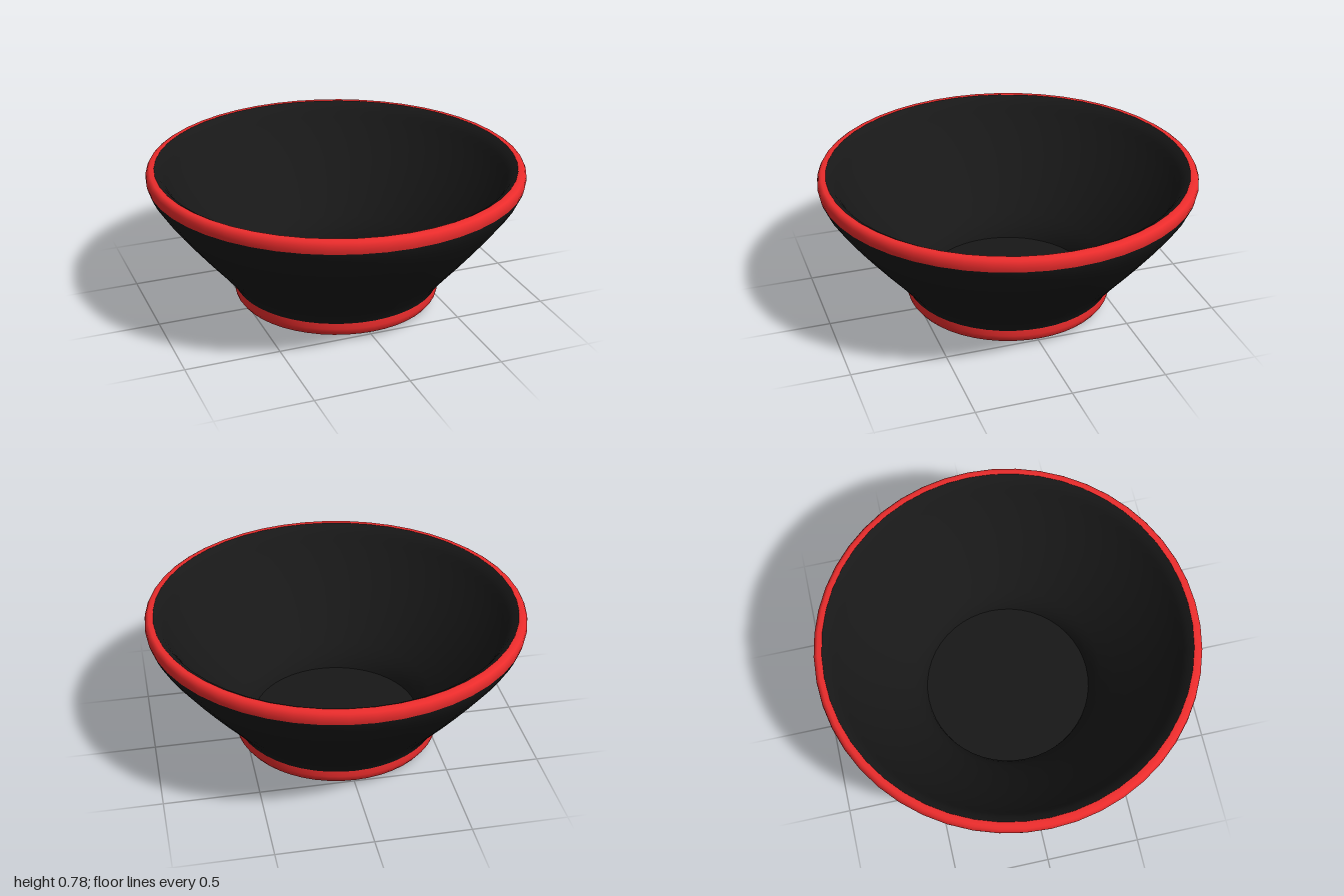
import * as THREE from 'three';

const SEGMENTS = 48;

const glaze = new THREE.MeshStandardMaterial({ color: 0x181818 });
const accent = new THREE.MeshStandardMaterial({ color: 0xec2c2c });

// Smooth surface of revolution; profiles run bottom-outside, over the rim, then down the inside
function band(name, profile, material) {
  const points = profile.map(([r, y]) => new THREE.Vector2(r, y));
  const mesh = new THREE.Mesh(new THREE.LatheGeometry(points, SEGMENTS), material);
  mesh.name = name;
  return mesh;
}

export function createModel() {
  const bowl = new THREE.Group();
  bowl.name = 'bowl';

  bowl.add(
    // Flat underside with a rounded edge
    band('base', [[0, 0], [0.38, 0], [0.45, 0.005], [0.5, 0.014], [0.535, 0.033]], glaze),

    // Coloured ring around the foot
    band('footRing', [[0.535, 0.033], [0.549, 0.053], [0.554, 0.075], [0.552, 0.106]], accent),

    // Flaring outer wall
    band('outerWall', [
      [0.552, 0.106], [0.566, 0.134], [0.593, 0.172], [0.65, 0.242], [0.73, 0.336],
      [0.808, 0.432], [0.877, 0.52], [0.933, 0.596], [0.971, 0.655], [0.99, 0.695], [0.996, 0.715],
    ], glaze),

    // Coloured lip, rounded on the outside and ending on the crown
    band('rim', [
      [0.996, 0.715], [1, 0.735], [0.998, 0.757], [0.99, 0.772], [0.978, 0.78], [0.955, 0.779],
    ], accent),

    // Inside wall, a constant thickness behind the outer wall, steepening towards the floor
    band('innerWall', [
      [0.955, 0.779], [0.927, 0.762], [0.905, 0.733], [0.886, 0.702], [0.855, 0.655],
      [0.8, 0.58], [0.732, 0.495], [0.652, 0.4], [0.573, 0.306], [0.513, 0.232],
      [0.479, 0.182], [0.458, 0.135], [0.45, 0.1],
    ], glaze),

    // Flat inside floor
    band('floor', [[0.45, 0.1], [0, 0.1]], glaze),
  );

  return bowl;
}
